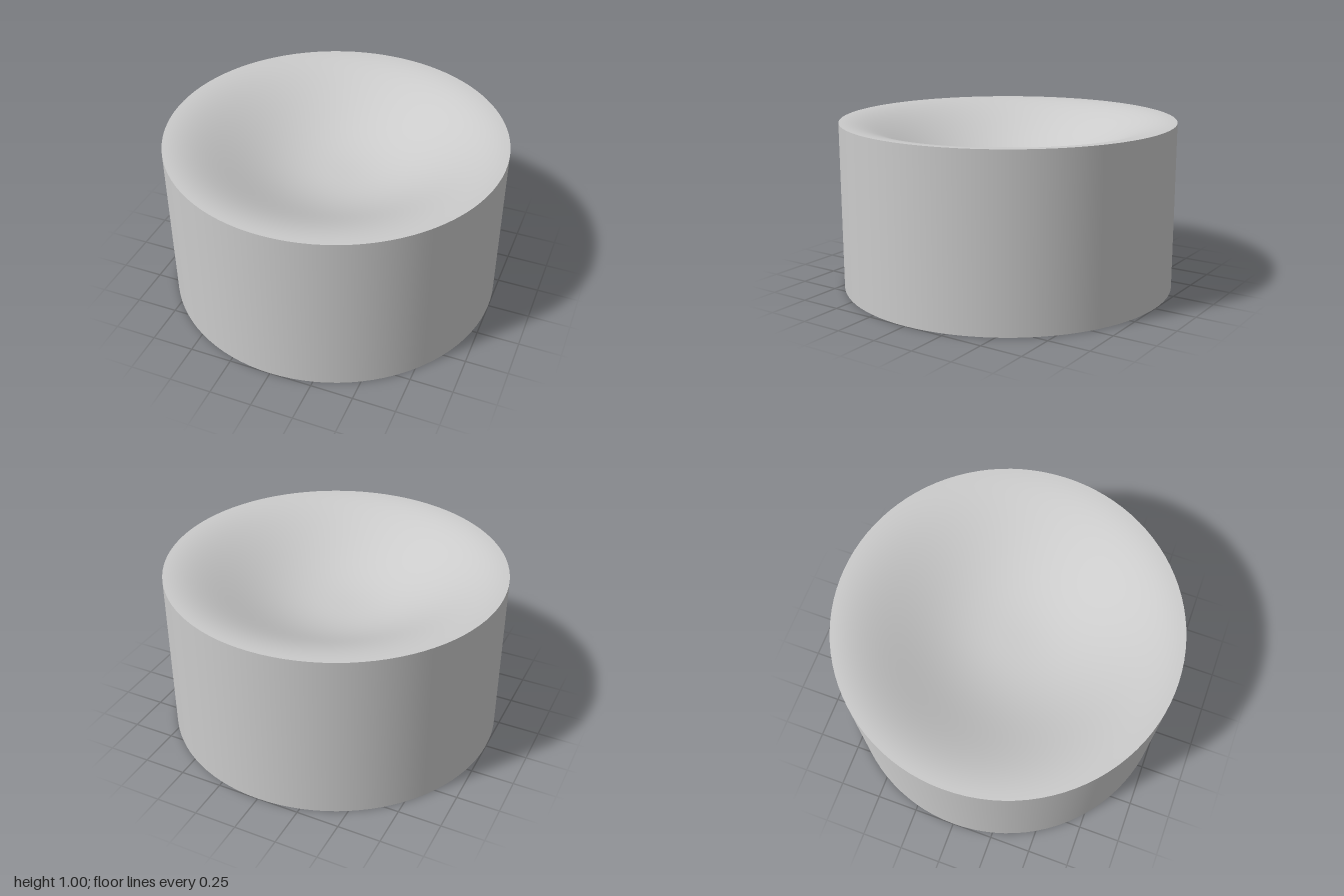
import * as THREE from 'three';

const RADIUS = 1;
const HEIGHT = 1;
const DISH_DEPTH = 0.275;
const SEGMENTS = 96;

// Height of the dished top: level at the centre and easing out level at the rim
function dishHeight(r) {
  return HEIGHT - DISH_DEPTH * Math.pow(1 - Math.pow(r, 2.4), 2.2);
}

export function createModel() {
  const group = new THREE.Group();
  group.name = 'dishedCylinder';
  const material = new THREE.MeshStandardMaterial({ color: 0xcccccc });

  // Each surface is its own lathe, so the rims stay sharp
  function addLathe(name, points) {
    const mesh = new THREE.Mesh(new THREE.LatheGeometry(points, SEGMENTS), material);
    mesh.name = name;
    group.add(mesh);
  }

  // Flat underside, from the centre outwards
  addLathe('base', [new THREE.Vector2(0, 0), new THREE.Vector2(RADIUS, 0)]);

  // Straight side wall
  addLathe('wall', [new THREE.Vector2(RADIUS, 0), new THREE.Vector2(RADIUS, HEIGHT)]);

  // Smooth hollow in the top, from the rim inwards
  const steps = 40;
  const profile = [];
  for (let i = 0; i <= steps; i++) {
    const r = RADIUS * (1 - i / steps);
    profile.push(new THREE.Vector2(r, dishHeight(r)));
  }
  addLathe('dish', profile);

  return group;
}
